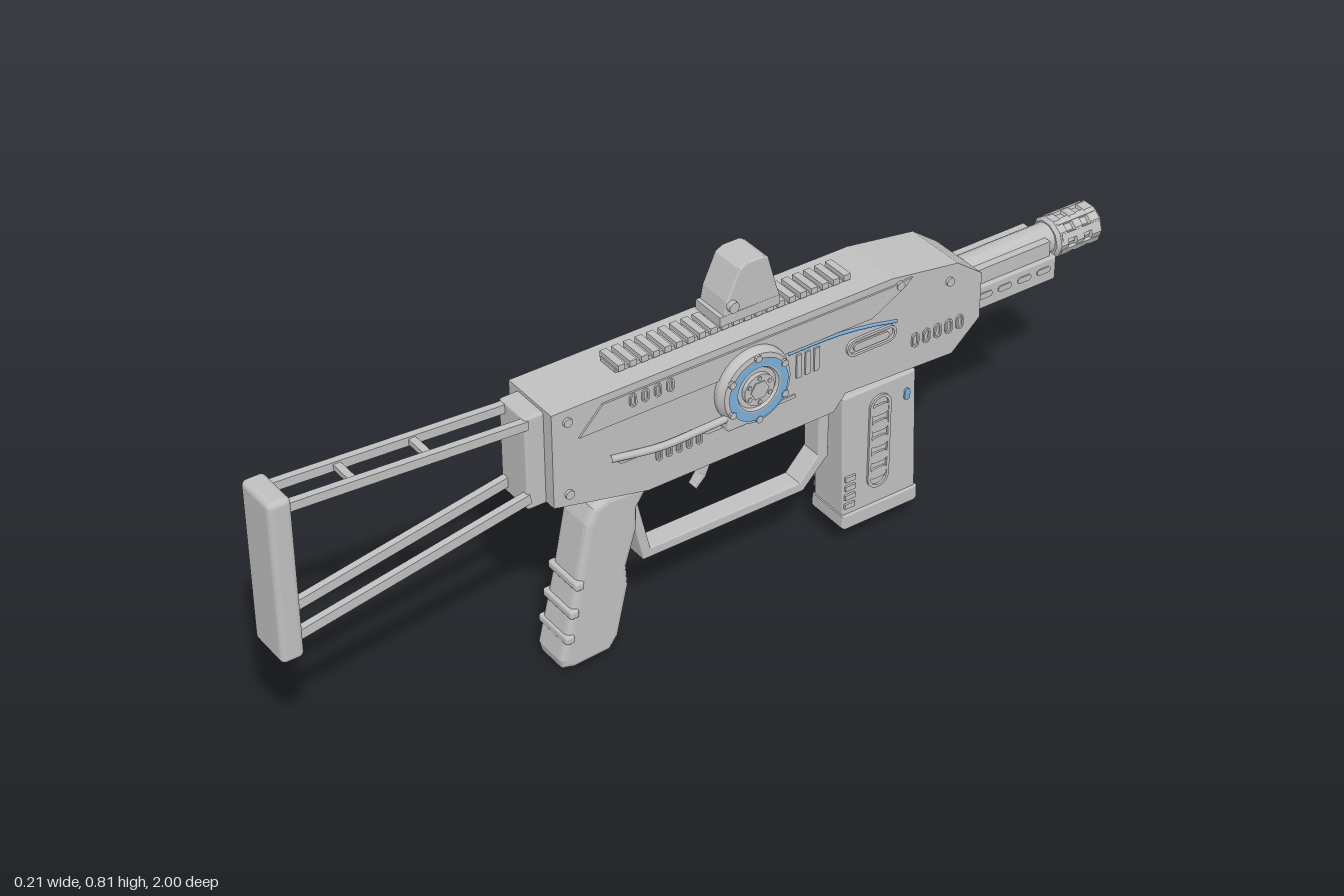
import * as THREE from 'three';
import { toCreasedNormals } from 'three/addons/utils/BufferGeometryUtils.js';
import { RoundedBoxGeometry } from 'three/addons/geometries/RoundedBoxGeometry.js';

export function createModel() {
  const root = new THREE.Group();
  root.name = 'toyBlaster';
  root.position.x = -0.005;
  const model = new THREE.Group();
  model.add(root);

  const grey = new THREE.MeshStandardMaterial({ color: 0xc0c0c0 });
  grey.name = 'light grey';
  const blue = new THREE.MeshStandardMaterial({ color: 0x78b0dc });
  blue.name = 'sky blue';

  function add(name, geo, x = 0, y = 0, z = 0, mat = grey) {
    const m = new THREE.Mesh(geo, mat);
    m.name = name;
    m.position.set(x, y, z);
    root.add(m);
    return m;
  }
  const box = (name, w, h, d, x, y, z, mat) => add(name, new THREE.BoxGeometry(w, h, d), x, y, z, mat);
  const outline = (pts) => new THREE.Shape(pts.map(([z, y]) => new THREE.Vector2(z, y)));

  // Side outline in (z, y), extruded across x and centred on the given x
  function slab(name, shape, width, x = 0, bevel = 0, mat = grey) {
    const geo = new THREE.ExtrudeGeometry(shape, {
      depth: width - 2 * bevel, bevelEnabled: bevel > 0, bevelThickness: bevel,
      bevelSize: bevel, bevelOffset: -bevel, bevelSegments: 3, curveSegments: 10,
    });
    geo.translate(0, 0, -(width - 2 * bevel) / 2).rotateY(-Math.PI / 2);
    return add(name, geo, x, 0, 0, mat);
  }

  // Rounded slot outline of length l (along z) and height h
  function capsule(z, y, l, h, Type = THREE.Shape) {
    const s = new Type(), r = Math.min(l, h) / 2, a = l / 2 - r, b = h / 2 - r;
    s.absarc(z + a, y + b, r, 0, Math.PI / 2);
    s.absarc(z - a, y + b, r, Math.PI / 2, Math.PI);
    s.absarc(z - a, y - b, r, Math.PI, Math.PI * 1.5);
    s.absarc(z + a, y - b, r, Math.PI * 1.5, Math.PI * 2);
    return s;
  }
  function slotFrame(name, z, y, l, h, rim, x, depth = 0.006) {
    const s = capsule(z, y, l, h);
    s.holes.push(capsule(z, y, l - 2 * rim, h - 2 * rim, THREE.Path));
    return slab(name, s, depth, x);
  }
  function bar(name, a, b, w, h) {
    const p = new THREE.Vector3(...a), q = new THREE.Vector3(...b);
    const m = add(name, new THREE.BoxGeometry(w, h, p.distanceTo(q)));
    m.position.copy(p).lerp(q, 0.5);
    m.lookAt(q);
  }
  const disc = (name, r, w, x, y, z, sides = 40, mat = grey) =>
    add(name, toCreasedNormals(new THREE.CylinderGeometry(r, r, w, sides).rotateZ(Math.PI / 2), 0.6), x, y, z, mat);
  function tube(name, pts, r, mat) {
    const curve = new THREE.CatmullRomCurve3(pts.map((p) => new THREE.Vector3(...p)));
    add(name, new THREE.TubeGeometry(curve, 20, r, 8), 0, 0, 0, mat);
  }
  function turned(name, pts, sides, y) {
    const geo = new THREE.LatheGeometry(pts.map(([r, l]) => new THREE.Vector2(r, l)), sides, Math.PI / sides);
    add(name, toCreasedNormals(geo.rotateX(-Math.PI / 2), 0.5), 0, y, 0);
  }

  // Receiver
  slab('receiver', outline([[0.405, 0.662], [0.405, 0.444], [0.185, 0.393], [-0.27, 0.393], [-0.3, 0.428],
    [-0.575, 0.417], [-0.645, 0.48], [-0.645, 0.588], [-0.58, 0.636], [-0.41, 0.662]]), 0.148);
  add('rearCap', new RoundedBoxGeometry(0.092, 0.215, 0.05, 2, 0.006), 0, 0.547, 0.422);

  // Folding stock
  add('buttPlate', new RoundedBoxGeometry(0.106, 0.372, 0.05, 4, 0.012), 0, 0.509, 0.975);
  for (const s of [-1, 1]) {
    bar('upperStockRod', [s * 0.036, 0.664, 0.955], [s * 0.036, 0.64, 0.44], 0.016, 0.02);
    bar('lowerStockRod', [s * 0.036, 0.365, 0.955], [s * 0.036, 0.468, 0.44], 0.016, 0.022);
  }
  for (const z of [0.65, 0.81]) box('stockCrossbar', 0.07, 0.012, 0.016, 0, 0.64 + (z - 0.44) * 0.0466, z);

  // Top and bottom rails
  box('topRail', 0.05, 0.01, 0.565, 0, 0.666, -0.057);
  for (let i = 0; i < 21; i++) box('topRailTooth', 0.064, 0.014, 0.016, 0, 0.674, 0.215 - i * 0.0272);
  for (let i = 0; i < 8; i++) box('lowerRailTooth', 0.056, 0.014, 0.017, 0, 0.423, -0.345 - i * 0.028);
  box('lowerRail', 0.046, 0.016, 0.22, 0, 0.428, -0.445);

  // Sight
  box('sightBase', 0.082, 0.022, 0.145, 0, 0.694, -0.083);
  slab('sightHood', outline([[-0.02, 0.704], [-0.155, 0.704], [-0.145, 0.735], [-0.126, 0.803], [-0.115, 0.81],
    [-0.073, 0.81], [-0.056, 0.8], [-0.026, 0.735]]), 0.084, 0, 0.004);
  disc('sightKnob', 0.012, 0.014, 0.046, 0.725, -0.037, 16);

  // Barrel, handguard and muzzle
  turned('barrel', [[0.034, 0.6], [0.034, 0.885]], 24, 0.549);
  slab('handguard', outline([[-0.64, 0.48], [-0.865, 0.48], [-0.865, 0.535], [-0.64, 0.535]]), 0.108, 0, 0.003);
  box('handguardTop', 0.088, 0.045, 0.215, 0, 0.548, -0.747);
  turned('muzzle', [[0, 0.878], [0.04, 0.878], [0.047, 0.886], [0.047, 0.905], [0.041, 0.908], [0.041, 0.925],
    [0.047, 0.928], [0.047, 0.948], [0.041, 0.951], [0.041, 0.966], [0.047, 0.969], [0.047, 0.994],
    [0.042, 1], [0.027, 1], [0.024, 0.94], [0, 0.94]], 10, 0.547);
  for (let i = 0; i < 8; i++) {
    const a = (i + 0.5) * Math.PI / 4;
    const rib = box('muzzleRib', 0.014, 0.007, 0.1, Math.cos(a) * 0.0425, 0.547 + Math.sin(a) * 0.0425, -0.94);
    rib.rotation.z = a + Math.PI / 2;
  }

  // Pistol grip
  slab('grip', outline([[0.262, 0.39], [0.168, 0.39], [0.165, 0.372], [0.19, 0.335], [0.192, 0.28], [0.217, 0.2],
    [0.214, 0.15], [0.24, 0.035], [0.262, 0.005], [0.35, 0], [0.376, 0.008], [0.381, 0.03],
    [0.34, 0.2], [0.312, 0.34], [0.295, 0.375]]), 0.094, 0, 0.014);
  for (const [y, z] of [[0.205, 0.335], [0.14, 0.349], [0.08, 0.361]])
    add('gripRidge', new RoundedBoxGeometry(0.104, 0.02, 0.022, 2, 0.006), 0, y, z);

  // Trigger and guard
  slab('trigger', outline([[0.006, 0.395], [-0.012, 0.395], [-0.012, 0.345], [0.002, 0.31], [0.025, 0.288],
    [0.03, 0.295], [0.014, 0.318], [0.004, 0.35]]), 0.022, 0, 0.002);
  slab('triggerGuard', outline([[0.19, 0.38], [0.2, 0.335], [0.165, 0.18], [-0.235, 0.18], [-0.298, 0.245], [-0.298, 0.392],
    [-0.272, 0.392], [-0.272, 0.255], [-0.225, 0.203], [0.148, 0.203], [0.178, 0.33], [0.166, 0.38]]), 0.05, 0, 0.003);

  // Magazine
  slab('magazine', outline([[-0.312, 0.391], [-0.322, 0.08], [-0.513, 0.08], [-0.502, 0.391]]), 0.098, 0, 0.004);
  slab('magazineBase', outline([[-0.318, 0.092], [-0.318, 0.062], [-0.325, 0.055], [-0.51, 0.055],
    [-0.517, 0.062], [-0.515, 0.092]]), 0.108, 0, 0.004);
  for (const s of [-1, 1]) {
    slotFrame('magazineWindow', -0.41, 0.25, 0.055, 0.235, 0.007, s * 0.051);
    for (let i = 0; i < 5; i++) slab('magazineRung', capsule(-0.41, 0.17 + i * 0.04, 0.046, 0.026), 0.007, s * 0.05);
    for (let i = 0; i < 4; i++) box('magazineRidge', 0.008, 0.012, 0.026, s * 0.05, 0.115 + i * 0.023, -0.337);
    slab('magazineButton', capsule(-0.48, 0.34, 0.014, 0.028), 0.006, s * 0.05, 0, blue);
  }

  // Side panels, vents and trim, mirrored on both sides
  for (const s of [-1, 1]) {
    const x = s * 0.075;
    slab('upperPanel', outline([[0.345, 0.588], [0.29, 0.645], [-0.41, 0.645], [-0.46, 0.65], [-0.445, 0.635], [-0.36, 0.588]]), 0.006, x);
    slab('lowerPanel', outline([[0.27, 0.505], [0.24, 0.495], [0.07, 0.495], [0.04, 0.48], [-0.17, 0.48],
      [-0.17, 0.472], [0.045, 0.472], [0.075, 0.487], [0.25, 0.487]]), 0.005, x);
    for (let i = 0; i < 4; i++) slotFrame('rearVent', 0.222 - i * 0.029, 0.628, 0.016, 0.03, 0.004, s * 0.078, 0.008);
    for (let i = 0; i < 5; i++) {
      slotFrame('frontVent', -0.475 - i * 0.029, 0.49, 0.018, 0.034, 0.004, x);
      slotFrame('lowerVent', 0.16 - i * 0.024, 0.47, 0.014, 0.028, 0.004, x);
    }
    slotFrame('ejectionPort', -0.36, 0.535, 0.125, 0.04, 0.006, x, 0.01);
    slab('portBolt', capsule(-0.36, 0.533, 0.09, 0.018), 0.006, x);
    for (let i = 0; i < 3; i++) box('centreRib', 0.006, 0.055, 0.012, x, 0.545, -0.178 - i * 0.022);
    tube('blueTrim', [[x, 0.583, -0.15], [x, 0.582, -0.27], [x, 0.572, -0.35], [x, 0.556, -0.425]], 0.0035, blue);
    for (const [z, y] of [[0.37, 0.465], [0.37, 0.635], [-0.43, 0.64], [-0.56, 0.6]]) disc('panelBolt', 0.01, 0.01, x, y, z, 12);
    // Handguard slots and muzzle-side details
    for (let i = 0; i < 4; i++) slab('handguardSlot', capsule(-0.675 - i * 0.052, 0.512, 0.036, 0.014), 0.005, s * 0.054);
  }

  // Round dial on the left side
  const dy = 0.552, dz = -0.06;
  const dial = new THREE.LatheGeometry([[0.087, 0.07], [0.087, 0.085], [0.08, 0.099], [0.05, 0.102], [0.046, 0.096], [0, 0.096]]
    .map(([r, h]) => new THREE.Vector2(r, h)), 48).rotateZ(-Math.PI / 2);
  add('dial', toCreasedNormals(dial, 0.4), 0, dy, dz);
  add('dialBlueRing', new THREE.RingGeometry(0.053, 0.072, 48).rotateY(Math.PI / 2), 0.1035, dy, dz, blue);
  disc('dialHub', 0.036, 0.012, 0.1, dy, dz, 32);
  disc('dialNut', 0.022, 0.012, 0.102, dy, dz, 6);
  for (let i = 0; i < 6; i++) {
    const a = i * Math.PI / 3 + 0.5;
    disc('dialBolt', 0.008, 0.008, 0.102, dy + Math.sin(a) * 0.073, dz + Math.cos(a) * 0.073, 10);
    disc('hubBolt', 0.005, 0.008, 0.104, dy + Math.sin(a) * 0.028, dz + Math.cos(a) * 0.028, 8);
  }
  // Hose and clamp running back from the dial
  tube('dialHose', [[0.092, 0.505, -0.01], [0.089, 0.5, 0.06], [0.083, 0.494, 0.16], [0.076, 0.508, 0.275]], 0.008);
  add('hoseClamp', new RoundedBoxGeometry(0.026, 0.034, 0.05, 2, 0.006), 0.088, 0.492, -0.012);

  // Charging knob on the right side
  disc('chargingKnob', 0.012, 0.034, -0.084, 0.605, -0.21, 20);
  return model;
}
